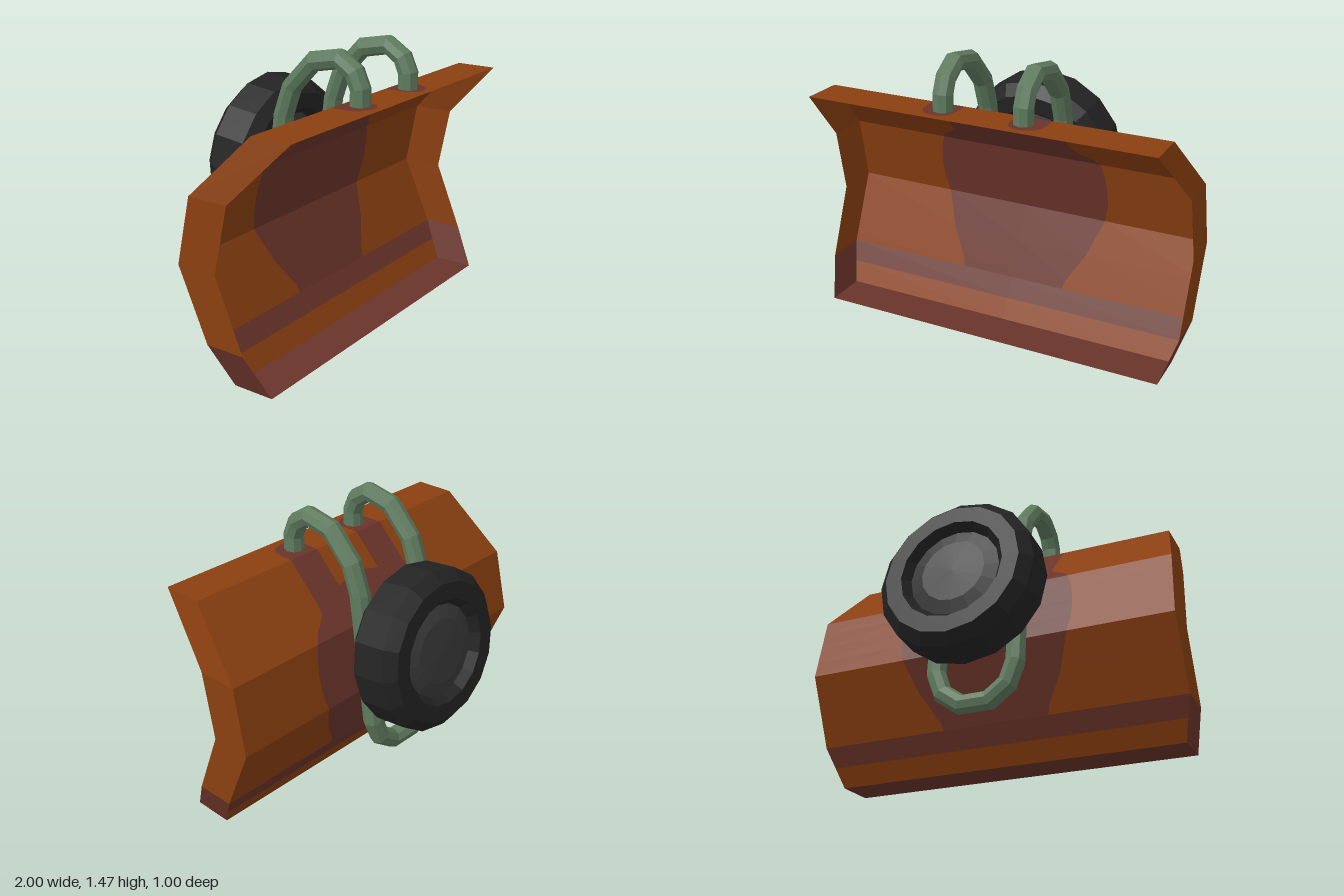
import * as THREE from 'three';

const mat = (name, color, side = THREE.FrontSide) => {
  const m = new THREE.MeshStandardMaterial({ color, flatShading: true, side });
  m.name = name;
  return m;
};

// blade section: height, back z, front z, half width
const PROFILE = [
  [0, 0.18, 0.395, 0.94], [0.2, 0.07, 0.28, 1], [0.56, -0.09, 0.13, 1],
  [0.9, -0.02, 0.2, 0.99], [1.21, 0.285, 0.5, 0.915],
];

// section values at any height
function section(y) {
  let i = 0;
  while (i < PROFILE.length - 2 && y > PROFILE[i + 1][0]) i++;
  const [p, q] = [PROFILE[i], PROFILE[i + 1]];
  const t = (y - p[0]) / (q[0] - p[0]);
  return p.map((v, k) => v + (q[k] - v) * t);
}

function addQuad(list, a, b, c, d) {
  list.push(...a, ...b, ...c, ...a, ...c, ...d);
}

function meshFrom(list, material, name) {
  const g = new THREE.BufferGeometry();
  g.setAttribute('position', new THREE.Float32BufferAttribute(list, 3));
  g.computeVertexNormals();
  const m = new THREE.Mesh(g, material);
  m.name = name;
  return m;
}

function makeBlade(paint, stain) {
  const lists = [[], []]; // paint, stain
  const wall = (y, a, b, w) => { const s = section(y); return [y, s[1], s[3], a, b, w]; };
  const top = (z, a, b, w) => [1.21, z, 0.915, a, b, w];
  // rows: y, z, half width, then stain 0..a and b..w
  const rows = [
    [0, 0.395, 0.94, 0, 0, 0.94], wall(0, 0, 0, 0.94), wall(0, 0, 0, 0),
    wall(0.1, 0, 0, 0), wall(0.1, 0, 0, section(0.1)[3]), wall(0.2, 0, 0, 1),
    wall(0.2, 0, 0, 0.29), wall(0.24, 0, 0, 0.3), wall(0.385, 0, 0, 0.39),
    wall(0.56, 0, 0, 0.457), wall(0.65, 0, 0, 0.477), wall(0.74, 0, 0, 0.48),
    wall(0.83, 0, 0, 0.47), wall(0.9, 0, 0, 0.45), wall(0.935, 0, 0, 0.42),
    wall(0.965, 0, 0, 0.365), wall(0.99, 0, 0, 0.33), wall(1.055, 0, 0, 0.325),
    wall(1.055, 0.145, 0.145, 0.325), wall(1.08, 0, 0.145, 0.325),
    wall(1.21, 0, 0.145, 0.325),
    top(0.39, 0, 0.145, 0.32), top(0.43, 0, 0.16, 0.3), top(0.455, 0, 0.19, 0.26),
    top(0.462, 0, 0.225, 0.225), top(0.5, 0, 0.225, 0.225),
  ];
  for (let i = 0; i < rows.length - 1; i++) {
    const [p, q] = [rows[i], rows[i + 1]];
    if (p[0] === q[0] && p[1] === q[1]) continue;
    const stops = r => [0, r[3], r[4], r[5], r[2]];
    const [u, v] = [stops(p), stops(q)];
    for (const s of [1, -1]) {
      for (let k = 0; k < 4; k++) {
        if (u[k] === u[k + 1] && v[k] === v[k + 1]) continue;
        const c = [
          [s * u[k], p[0], p[1]], [s * u[k + 1], p[0], p[1]],
          [s * v[k + 1], q[0], q[1]], [s * v[k], q[0], q[1]],
        ];
        if (s > 0) c.reverse();
        addQuad(lists[k % 2 === 0 ? 1 : 0], ...c);
      }
    }
  }
  // end walls, stained along the lower edge
  for (const s of [1, -1]) {
    for (let i = 0; i < PROFILE.length - 1; i++) {
      const [p, q] = [PROFILE[i], PROFILE[i + 1]];
      const c = [
        [s * p[3], p[0], p[2]], [s * p[3], p[0], p[1]],
        [s * q[3], q[0], q[1]], [s * q[3], q[0], q[2]],
      ];
      if (s < 0) c.reverse();
      addQuad(lists[i === 0 ? 1 : 0], ...c);
    }
  }
  const g = new THREE.Group();
  g.name = 'blade';
  g.add(meshFrom(lists[0], paint, 'bladePaint'), meshFrom(lists[1], stain, 'bladeStain'));
  return g;
}

// straight-segment path with averaged tangents at its corners
class Polyline extends THREE.Curve {
  constructor(points) { super(); this.points = points; }
  at(i) { return this.points[Math.min(Math.max(i, 0), this.points.length - 1)]; }
  index(t) { return Math.round(t * (this.points.length - 1)); }
  getPointAt(t, target = new THREE.Vector3()) { return target.copy(this.at(this.index(t))); }
  getTangentAt(t, target = new THREE.Vector3()) {
    const i = this.index(t), p = this.at(i);
    const a = p.clone().sub(this.at(i - 1)).normalize();
    const b = this.at(i + 1).clone().sub(p).normalize();
    return target.copy(a.add(b).normalize());
  }
}

function makeHanger(material) {
  const half = [
    [0.215, 1.2, 0.375], [0.215, 1.29, 0.375], [0.215, 1.365, 0.342],
    [0.215, 1.42, 0.257], [0.215, 1.39, 0.105], [0.215, 1.25, -0.027],
    [0.215, 1.1, -0.08], [0.215, 0.41, -0.165], [0.175, 0.3, -0.17], [0.075, 0.228, -0.17],
  ];
  const other = half.map(([x, y, z]) => [-x, y, z]).reverse();
  const pts = [...half, ...other].map(p => new THREE.Vector3(...p));
  const m = new THREE.Mesh(
    new THREE.TubeGeometry(new Polyline(pts), pts.length - 1, 0.052, 8), material);
  m.name = 'hangerTube';
  return m;
}

function makeWheel(rubber, metal) {
  const g = new THREE.Group();
  g.name = 'wheel';
  const lathe = (pts, material, name) => {
    const m = new THREE.Mesh(
      new THREE.LatheGeometry(pts.map(p => new THREE.Vector2(...p)), 16), material);
    m.name = name;
    g.add(m);
  };
  const side = [[0.24, 0.095], [0.275, 0.141], [0.362, 0.141], [0.418, 0.087]];
  const flip = ([r, h]) => [r, -h];
  lathe([...side.map(flip), ...side.slice().reverse()], rubber, 'tyre');
  const cap = [[0, 0.122], [0.17, 0.115], [0.25, 0.09]];
  lathe([...cap.map(flip), ...cap.slice().reverse()], metal, 'hub');
  g.position.set(0, 0.816, -0.315);
  g.rotation.x = Math.PI / 2 + 0.118;
  return g;
}

export function createModel() {
  const model = new THREE.Group();
  model.name = 'bladeWithWheel';
  model.add(
    makeBlade(mat('rustOrange', 0x8a3f10, THREE.DoubleSide),
      mat('darkStain', 0x6a342a, THREE.DoubleSide)),
    makeHanger(mat('dullGreen', 0x5f7b5f, THREE.DoubleSide)),
    makeWheel(mat('blackRubber', 0x232323), mat('greyHub', 0x3a3a3a)),
  );
  return model;
}
